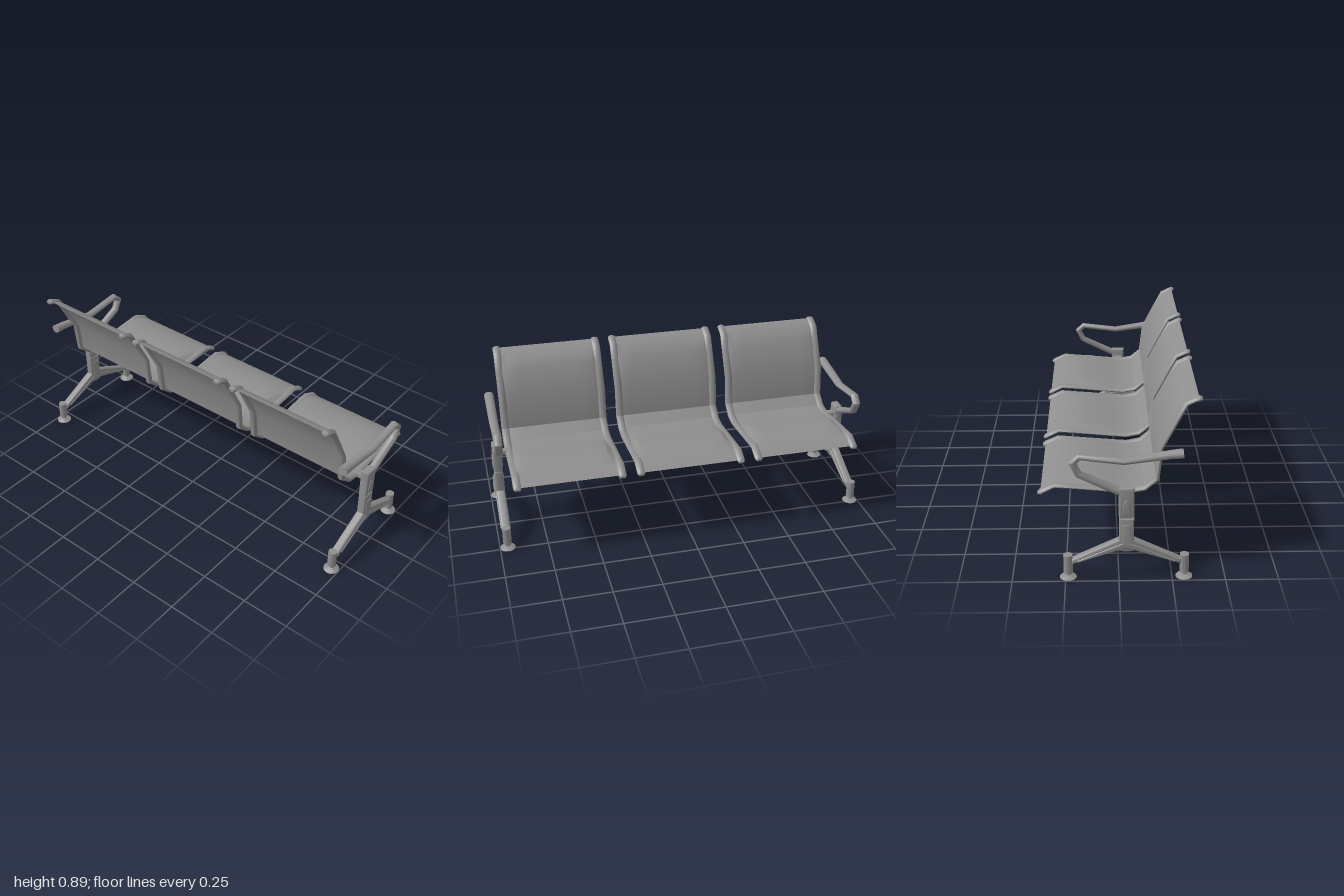
import * as THREE from 'three';
import { toCreasedNormals } from 'three/addons/utils/BufferGeometryUtils.js';

const metal = new THREE.MeshStandardMaterial({ color: 0x8e8e8e, side: THREE.DoubleSide });
metal.name = 'grey metal';

function add(parent, name, geometry, x = 0, y = 0, z = 0) {
  const mesh = new THREE.Mesh(geometry, metal);
  mesh.name = name;
  mesh.position.set(x, y, z);
  parent.add(mesh);
  return mesh;
}

// Unit normal and mitre factor at each point of a path in the xy plane
function frames(path) {
  return path.map((p, i) => {
    const a = path[Math.max(i - 1, 0)], b = path[Math.min(i + 1, path.length - 1)];
    const d1 = new THREE.Vector2(p[0] - a[0], p[1] - a[1]).normalize();
    const d2 = new THREE.Vector2(b[0] - p[0], b[1] - p[1]).normalize();
    const t = d1.clone().add(d2).normalize();
    const mitre = 1 / Math.max(0.6, Math.max(t.dot(d1), t.dot(d2)));
    return { nx: -t.y, ny: t.x, mitre };
  });
}

// Oval bar swept along [x, y, halfThickness, halfWidth] points
function bar(path, sides = 12) {
  const pos = [], idx = [], f = frames(path), n = path.length;
  path.forEach(([x, y, h, w], i) => {
    for (let k = 0; k < sides; k++) {
      const a = (k / sides) * Math.PI * 2;
      const r = Math.cos(a) * h * f[i].mitre;
      pos.push(x + f[i].nx * r, y + f[i].ny * r, Math.sin(a) * w);
    }
  });
  for (let i = 0; i < n - 1; i++) for (let k = 0; k < sides; k++) {
    const a = i * sides + k, b = i * sides + (k + 1) % sides;
    idx.push(a, b, b + sides, a, b + sides, a + sides);
  }
  // End caps
  const c = n * sides, last = (n - 1) * sides;
  pos.push(path[0][0], path[0][1], 0, path[n - 1][0], path[n - 1][1], 0);
  for (let k = 0; k < sides; k++) {
    const m = (k + 1) % sides;
    idx.push(c, m, k, c + 1, last + k, last + m);
  }
  const g = new THREE.BufferGeometry();
  g.setAttribute('position', new THREE.Float32BufferAttribute(pos, 3));
  g.setIndex(idx);
  return toCreasedNormals(g, 0.75);
}

// Plate cut from an outline, centred on z, with rounded edges kept inside the outline
function plate(outline, depth, bevel) {
  const shape = new THREE.Shape(outline.map(([x, y]) => new THREE.Vector2(x, y)));
  const g = new THREE.ExtrudeGeometry(shape, {
    depth: depth - 2 * bevel, bevelEnabled: true, bevelSize: bevel,
    bevelThickness: bevel, bevelOffset: -bevel, bevelSegments: 3,
  });
  g.translate(0, 0, -(depth / 2 - bevel));
  return toCreasedNormals(g, 0.7);
}

// Seat side profile: x, y, rail half thickness, crown of the sheet
const profile = [
  [-0.372, 0.876, 0.008, 0], [-0.36, 0.876, 0.013, 0], [-0.342, 0.87, 0.011, 0],
  [-0.304, 0.852, 0.011, 0], [-0.265, 0.778, 0.011, 0.012], [-0.193, 0.637, 0.011, 0.004],
  [-0.177, 0.482, 0.012, 0.004], [-0.12, 0.433, 0.012, 0.003], [-0.05, 0.42, 0.011, 0.005],
  [0.02, 0.426, 0.01, 0.012], [0.13, 0.436, 0.009, 0.026], [0.22, 0.444, 0.009, 0.018],
  [0.296, 0.45, 0.01, 0], [0.342, 0.428, 0.011, 0], [0.36, 0.418, 0.013, 0],
  [0.372, 0.411, 0.008, 0],
];

// Thin curved sheet with a gently raised middle
function sheet(halfWidth) {
  const path = profile.slice(1, -1), f = frames(path), pos = [], idx = [];
  const across = [-1, -0.94, -0.85, -0.6, 0, 0.6, 0.85, 0.94, 1], m = across.length;
  path.forEach(([x, y, , crown], i) => across.forEach(t => {
    const o = 0.003 + crown * Math.min(1, (1 - Math.abs(t)) / 0.15);
    pos.push(x + f[i].nx * o, y + f[i].ny * o, t * halfWidth);
  }));
  for (let i = 0; i < path.length - 1; i++) for (let j = 0; j < m - 1; j++) {
    const a = i * m + j, b = a + m;
    idx.push(a, a + 1, b + 1, a, b + 1, b);
  }
  const g = new THREE.BufferGeometry();
  g.setAttribute('position', new THREE.Float32BufferAttribute(pos, 3));
  g.setIndex(idx);
  return toCreasedNormals(g, 0.5);
}

function createSeat() {
  const seat = new THREE.Group();
  const rail = bar(profile.map(([x, y, h], i) =>
    [x, y, h, i === 0 || i === profile.length - 1 ? 0.015 : 0.021]));
  add(seat, 'seatSheet', sheet(0.265));
  for (const s of [-1, 1]) add(seat, 'sideRail', rail, 0, 0, s * 0.266);
  return seat;
}

function createEndFrame() {
  const frame = new THREE.Group();
  // Forked base with two sloping legs
  add(frame, 'forkedBase', plate([
    [-0.07, 0.318], [-0.07, 0.207], [-0.29, 0.101], [-0.29, 0.077], [-0.075, 0.147],
    [-0.035, 0.141], [0.005, 0.147], [0.22, 0.077], [0.22, 0.101], [0, 0.207], [0, 0.318],
  ], 0.044, 0.01));
  add(frame, 'baseRib', plate([
    [-0.054, 0.288], [-0.054, 0.19], [-0.265, 0.097], [-0.262, 0.089], [-0.07, 0.158],
    [-0.035, 0.16], [0, 0.158], [0.192, 0.089], [0.195, 0.097], [-0.016, 0.19], [-0.016, 0.288],
  ], 0.052, 0.004));
  // Upper post
  add(frame, 'upperPost', plate([[-0.071, 0.322], [0.001, 0.322], [0.001, 0.473], [-0.071, 0.473]], 0.046, 0.01));
  add(frame, 'postRib', plate([
    [-0.054, 0.338], [-0.017, 0.338], [-0.017, 0.395], [-0.035, 0.418], [-0.054, 0.395],
  ], 0.054, 0.004));
  add(frame, 'postJoint', new THREE.BoxGeometry(0.056, 0.02, 0.032), -0.035, 0.32, 0);
  // Looped armrest
  add(frame, 'armrest', bar([
    [-0.29, 0.637, 0.022, 0.026], [-0.235, 0.632, 0.02, 0.025], [-0.02, 0.6, 0.015, 0.023],
    [0.18, 0.625, 0.014, 0.022], [0.21, 0.594, 0.016, 0.022], [0.183, 0.538, 0.016, 0.022],
    [0.0, 0.45, 0.019, 0.022], [-0.035, 0.434, 0.019, 0.022],
  ]));
  // Levelling feet
  const foot = new THREE.LatheGeometry([
    [0, 0], [0.04, 0], [0.04, 0.003], [0.014, 0.015], [0.011, 0.028], [0.022, 0.028],
    [0.022, 0.12], [0, 0.12],
  ].map(([r, y]) => new THREE.Vector2(r, y)), 20);
  const footGeometry = toCreasedNormals(foot, 0.6);
  for (const x of [-0.307, 0.238]) add(frame, 'foot', footGeometry, x, 0, 0);
  return frame;
}

export function createModel() {
  const model = new THREE.Group();
  model.name = 'waitingBench';
  // Three seats side by side
  for (const i of [-1, 0, 1]) {
    const seat = createSeat();
    seat.name = ['rightSeat', 'middleSeat', 'leftSeat'][i + 1];
    seat.position.z = i * 0.628;
    model.add(seat);
  }
  // End frames with small brackets under the outer rails
  for (const s of [-1, 1]) {
    const frame = createEndFrame();
    frame.name = 'endFrame';
    frame.position.z = s * 0.96;
    add(frame, 'seatBracket', new THREE.BoxGeometry(0.04, 0.02, 0.06), -0.035, 0.421, -s * 0.045);
    model.add(frame);
  }
  return model;
}
